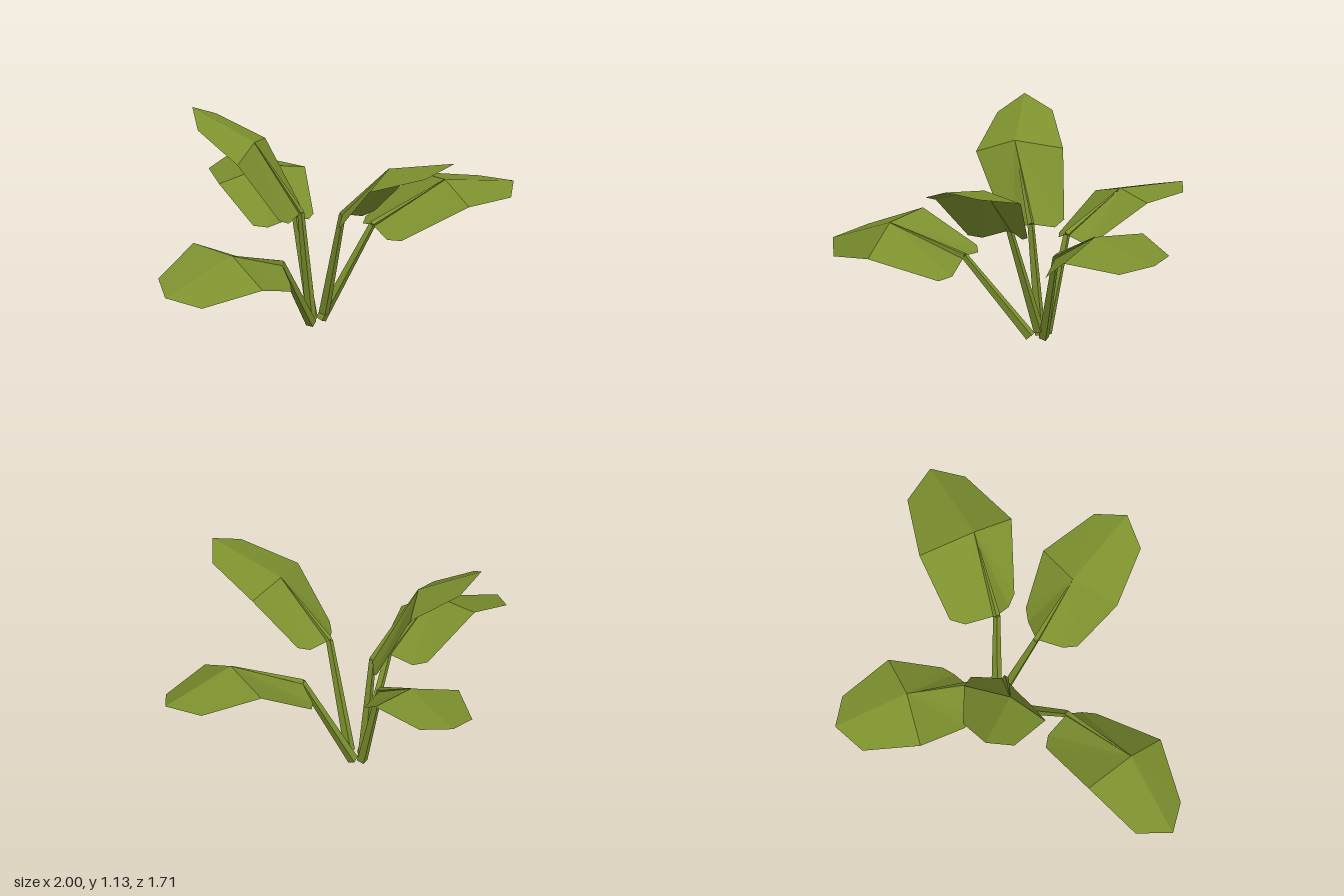
import * as THREE from 'three';

const leafGreen = new THREE.MeshStandardMaterial({ color: 0x7c902e, flatShading: true, side: THREE.DoubleSide });
leafGreen.name = 'leafGreen';

// Half outline shared by all leaves: spine position (0 base, 1 peak, 2 tip), width, droop
const OUTLINE = [[0.06, 0.47, 0.95], [0.18, 0.7, 1.2], [1, 1, 1], [1.74, 0.63, 0.6]];

const vec = (x, y, z) => new THREE.Vector3(x, y, z);

// Rim of a blade: base, along the left edge, tip, and back along the right edge
function makeRim({ base, peak, tip, side, droop }) {
  const edge = (sign) => OUTLINE.map(([t, width, sag]) => {
    const spine = t <= 1 ? base.clone().lerp(peak, t) : peak.clone().lerp(tip, t - 1);
    return spine.addScaledVector(side, sign * width).addScaledVector(droop, sag);
  });
  return [base, ...edge(1), tip, ...edge(-1).reverse()];
}

// Faceted blade: triangles fanning from the fold point to the rim
function makeBlade(leaf) {
  const rim = makeRim(leaf);
  const points = rim.flatMap((p, i) => [leaf.peak, rim[(i + 1) % rim.length], p]);
  const geometry = new THREE.BufferGeometry().setFromPoints(points);
  geometry.computeVertexNormals();
  return geometry;
}

// Four-sided tapering rod between two points
function makeRod(from, to, startRadius, endRadius) {
  const span = to.clone().sub(from);
  const geometry = new THREE.CylinderGeometry(endRadius, startRadius, span.length(), 4);
  geometry.applyQuaternion(new THREE.Quaternion().setFromUnitVectors(vec(0, 1, 0), span.normalize()));
  const mid = from.clone().lerp(to, 0.5);
  return geometry.translate(mid.x, mid.y, mid.z);
}

// Stalk, midrib and blade of one leaf
function makeLeaf(name, leaf) {
  const group = new THREE.Group();
  group.name = name;
  const parts = {
    blade: makeBlade(leaf),
    stalk: makeRod(leaf.foot, leaf.base, 0.028, 0.018),
    midrib: makeRod(leaf.base, leaf.peak, 0.018, 0.002),
  };
  for (const [part, geometry] of Object.entries(parts)) {
    const mesh = new THREE.Mesh(geometry, leafGreen);
    mesh.name = part;
    group.add(mesh);
  }
  return group;
}

export function createModel() {
  const plant = new THREE.Group();
  plant.name = 'plant';
  // side: from the spine to the left edge; droop: how far the edges hang below the spine
  plant.add(
    makeLeaf('leftLeaf', {
      foot: vec(-0.04, 0.03, 0), base: vec(0.22, 0.52, 0.03), peak: vec(0.61, 0.72, -0.04),
      tip: vec(1, 0.65, -0.22), side: vec(-0.085, 0.035, -0.245), droop: vec(0, -0.065, -0.045),
    }),
    makeLeaf('frontLeaf', {
      foot: vec(-0.03, 0.07, 0.03), base: vec(0.03, 0.63, 0.21), peak: vec(0.23, 0.91, 0.42),
      tip: vec(0.51, 1, 0.73), side: vec(0.163, 0.015, -0.17), droop: vec(0.02, -0.05, 0.04),
    }),
    makeLeaf('backLeaf', {
      foot: vec(-0.08, 0.04, -0.03), base: vec(-0.14, 0.53, -0.16), peak: vec(-0.22, 0.725, -0.48),
      tip: vec(-0.345, 0.695, -0.86), side: vec(-0.233, -0.02, 0.055), droop: vec(-0.028, -0.055, -0.015),
    }),
    makeLeaf('rightLeaf', {
      foot: vec(-0.09, 0.03, 0), base: vec(-0.15, 0.6, 0.03), peak: vec(-0.39, 0.98, 0.03),
      tip: vec(-0.68, 1.14, -0.13), side: vec(-0.11, -0.018, 0.195), droop: vec(-0.01, -0.055, -0.03),
    }),
    makeLeaf('frontRightLeaf', {
      foot: vec(-0.1, 0.025, 0.05), base: vec(-0.31, 0.42, 0.33), peak: vec(-0.62, 0.545, 0.62),
      tip: vec(-1, 0.385, 0.79), side: vec(0.14, -0.082, 0.2), droop: vec(-0.015, -0.065, -0.035),
    }),
  );
  return plant;
}
